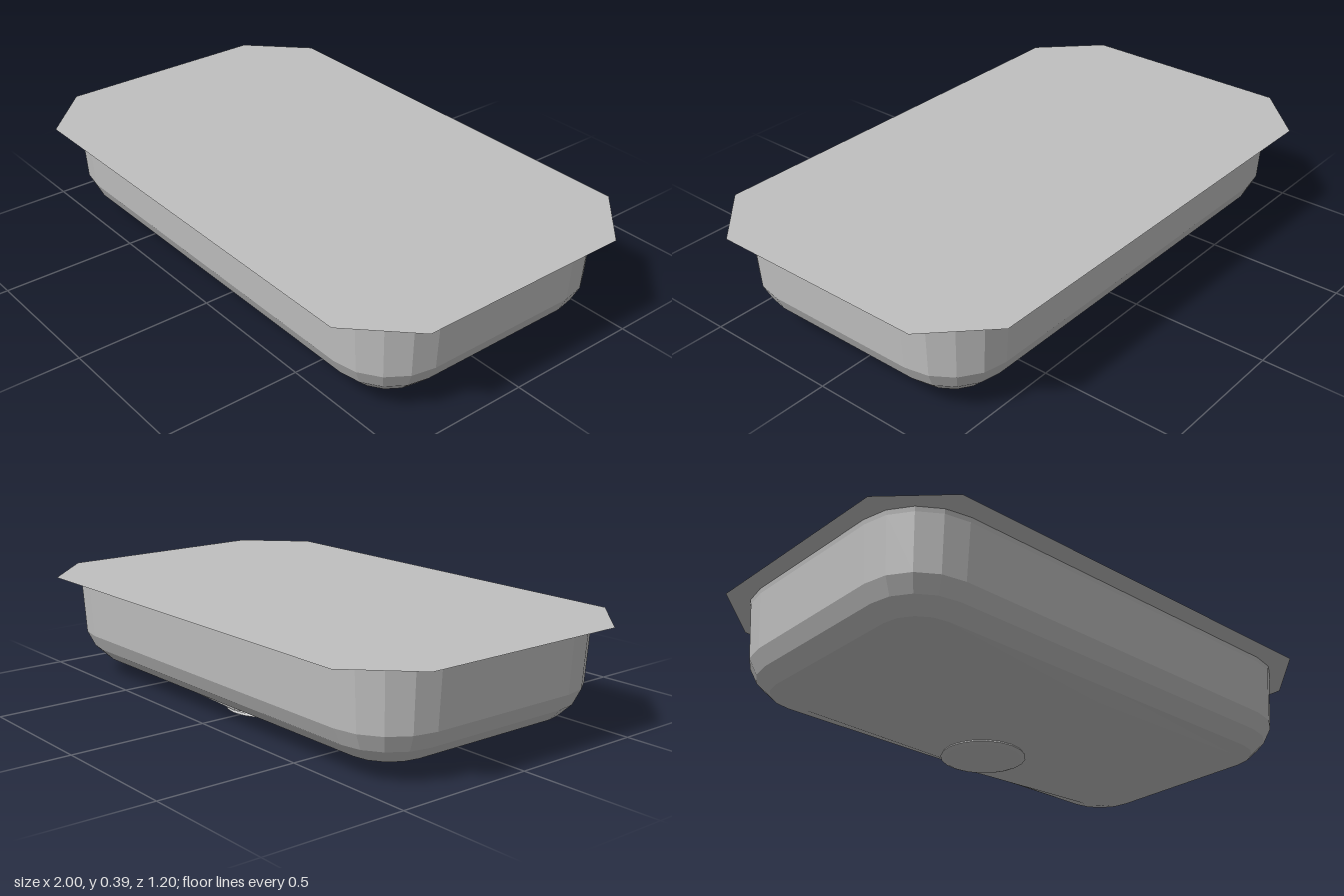
import * as THREE from 'three';

const CORNER_X = 0.7, CORNER_Z = 0.29, ARC_STEPS = 4;
const DRAIN_Z = -0.215, DRAIN_R = 0.15;

// Rounded-rectangle outline of radius r around four fixed corner centres
function outline(r, heightAt) {
  const points = [];
  const add = (x, z) => points.push([x, heightAt(x, z), z]);
  const signs = [[1, 1], [-1, 1], [-1, -1], [1, -1]];
  signs.forEach(([sx, sz], corner) => {
    for (let i = 0; i <= ARC_STEPS; i++) {
      const a = (corner + i / ARC_STEPS) * Math.PI / 2;
      add(sx * CORNER_X + r * Math.cos(a), sz * CORNER_Z + r * Math.sin(a));
    }
    // midpoint of the straight wall that follows this corner
    const b = (corner + 1) * Math.PI / 2;
    add(Math.round(Math.cos(b)) * (CORNER_X + r), Math.round(Math.sin(b)) * (CORNER_Z + r));
  });
  return points;
}

// Skin joining successive closed outlines, facing outward and down
function loft(rings) {
  const n = rings[0].length, index = [];
  for (let k = 0; k < rings.length - 1; k++) {
    for (let i = 0; i < n; i++) {
      const j = (i + 1) % n;
      const a = k * n + i, b = k * n + j, c = a + n, d = b + n;
      index.push(a, b, c, b, d, c);
    }
  }
  const geometry = new THREE.BufferGeometry();
  geometry.setAttribute('position', new THREE.Float32BufferAttribute(rings.flat(2), 3));
  geometry.setIndex(index);
  const faceted = geometry.toNonIndexed();
  faceted.computeVertexNormals();
  return faceted;
}

export function createModel() {
  const group = new THREE.Group();
  const steel = new THREE.MeshStandardMaterial({ color: 0xc0c0c0, side: THREE.DoubleSide });
  steel.name = 'steel grey';
  steel.flatShading = true;

  function part(name, geometry) {
    const mesh = new THREE.Mesh(geometry, steel);
    mesh.name = name;
    group.add(mesh);
    return mesh;
  }

  // Flat counter sheet with clipped corners
  const sheet = new THREE.Shape([
    [-0.8, -0.6], [0.8, -0.6], [1, -0.4], [1, 0.4],
    [0.8, 0.6], [-0.8, 0.6], [-1, 0.4], [-1, -0.4],
  ].map(([x, y]) => new THREE.Vector2(x, y)));
  const top = part('counterSheet', new THREE.ShapeGeometry(sheet));
  top.rotation.x = -Math.PI / 2;
  top.position.y = 0.387;

  // Basin walls curving in to the floor
  const rings = [
    [0.234, 0.386], [0.231, 0.37], [0.218, 0.167], [0.19, 0.11], [0.14, 0.062],
  ].map(([r, y]) => outline(r, () => y));
  const floorEdge = outline(0.08, (x) => 0.036 + 0.012 * Math.abs(x) / 0.78);
  rings.push(floorEdge);
  part('basinWalls', loft(rings));

  // Floor falling towards the drain
  const drainEdge = floorEdge.map(([x, , z]) => {
    const a = Math.atan2(z - DRAIN_Z, x);
    return [DRAIN_R * Math.cos(a), 0.018, DRAIN_Z + DRAIN_R * Math.sin(a)];
  });
  part('basinFloor', loft([floorEdge, drainEdge]));

  // Stepped drain cup beneath the floor
  const drain = part('drain', new THREE.LatheGeometry([
    [0, 0], [0.11, 0], [0.14, 0.006], [0.155, 0.012], [0.15, 0.02],
  ].map(([x, y]) => new THREE.Vector2(x, y)), 20));
  drain.position.z = DRAIN_Z;

  return group;
}
